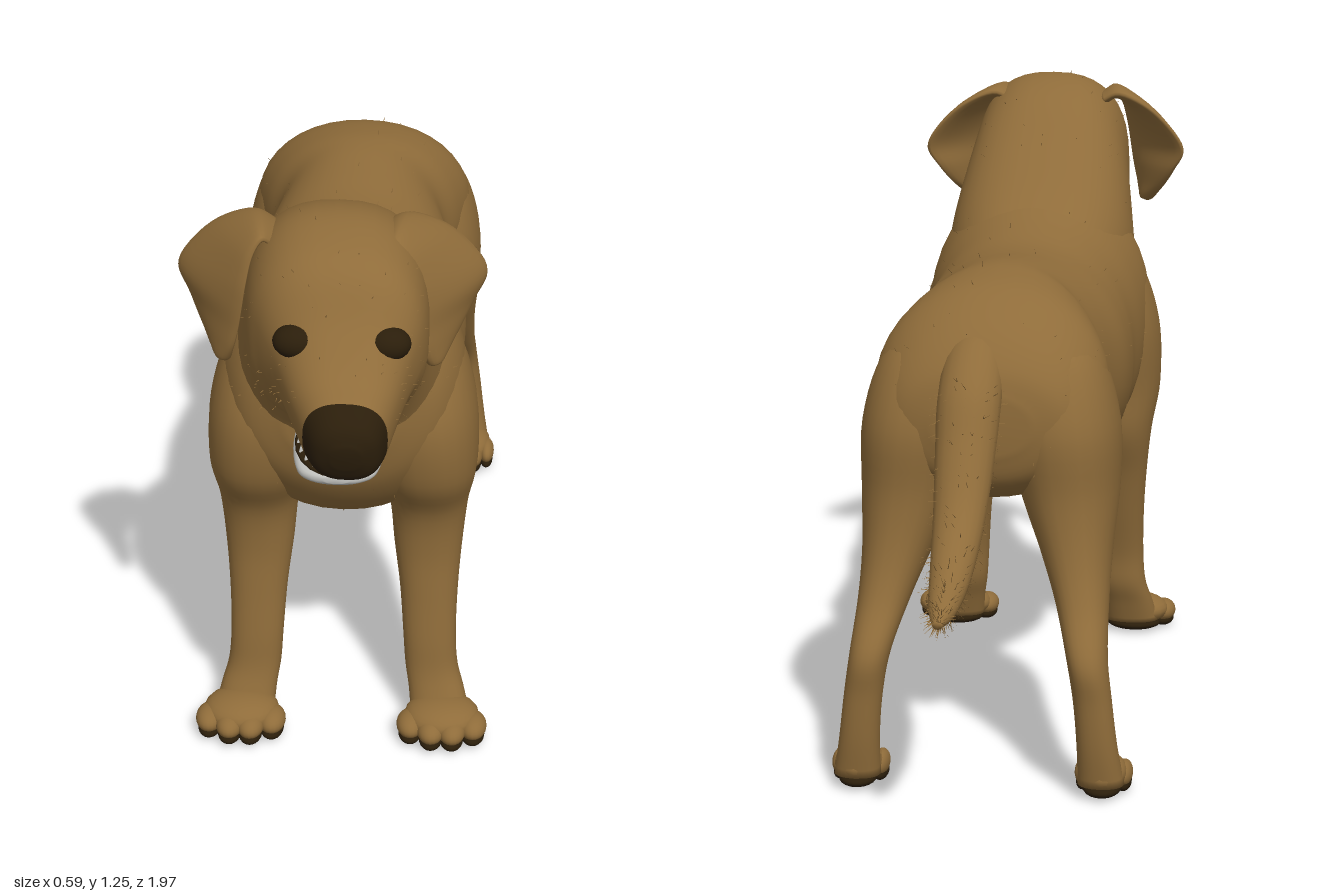
import * as THREE from 'three';

const V = (x, y, z) => new THREE.Vector3(x, y, z);
const mat = (name, color, side = THREE.FrontSide) => {
  const m = new THREE.MeshStandardMaterial({ color, side });
  m.name = name;
  return m;
};

// Smooth skin through rings [centre, halfAxisU, halfAxisV]; split starts a second material group
function loft(rings, { seg = 28, sub = 5, power = 1, split = null } = {}) {
  const curves = [0, 1, 2].map(k => new THREE.CatmullRomCurve3(rings.map(r => r[k]), false, 'catmullrom', 0.5));
  const n = (rings.length - 1) * sub;
  const pos = [], idx = [];
  const bend = a => Math.sign(a) * Math.pow(Math.abs(a), power);
  for (let i = 0; i <= n; i++) {
    const [c, u, v] = curves.map(k => k.getPoint(i / n));
    for (let j = 0; j < seg; j++) {
      const a = j / seg * Math.PI * 2;
      const p = c.clone().addScaledVector(u, bend(Math.cos(a))).addScaledVector(v, bend(Math.sin(a)));
      pos.push(p.x, p.y, p.z);
    }
  }
  const first = rings[0], last = rings[rings.length - 1];
  for (const r of [first, last]) pos.push(r[0].x, r[0].y, r[0].z);
  const mid = rings[rings.length >> 1], prev = rings[(rings.length >> 1) - 1];
  const flip = mid[1].clone().cross(mid[2]).dot(mid[0].clone().sub(prev[0])) < 0;
  const tri = (a, b, c) => flip ? idx.push(a, c, b) : idx.push(a, b, c);
  const start = (n + 1) * seg, end = start + 1;
  for (let j = 0; j < seg; j++) tri(start, (j + 1) % seg, j);
  let cut = 0;
  for (let i = 0; i < n; i++) {
    if (split !== null && i === Math.round(split * sub)) cut = idx.length;
    for (let j = 0; j < seg; j++) {
      const a = i * seg + j, b = i * seg + (j + 1) % seg;
      tri(a, b, a + seg);
      tri(b, b + seg, a + seg);
    }
  }
  for (let j = 0; j < seg; j++) tri(end, n * seg + j, n * seg + (j + 1) % seg);
  const g = new THREE.BufferGeometry();
  g.setAttribute('position', new THREE.Float32BufferAttribute(pos, 3));
  g.setIndex(idx);
  if (split !== null) {
    g.addGroup(0, cut, 0);
    g.addGroup(cut, idx.length - cut, 1);
  }
  g.computeVertexNormals();
  return g;
}

// Loose hairs standing on a skin, as thin triangles swept backwards
function fuzz(skin, count, length, from, to) {
  let seed = 7;
  const rnd = () => (seed = (seed * 16807) % 2147483647) / 2147483647;
  const P = skin.attributes.position, N = skin.attributes.normal, hair = [];
  for (let i = 0; i < count; i++) {
    const k = Math.floor((from + (to - from) * rnd()) * (P.count - 2));
    const p = V(0, 0, 0).fromBufferAttribute(P, k), n = V(0, 0, 0).fromBufferAttribute(N, k);
    const tip = p.clone().addScaledVector(n, length * (0.5 + 0.5 * rnd()));
    tip.add(V(rnd() - 0.5, rnd() - 0.5, -0.5).multiplyScalar(length * 0.6));
    hair.push(p.x - 0.001, p.y, p.z - 0.001, p.x + 0.001, p.y, p.z + 0.001, tip.x, tip.y, tip.z);
  }
  const g = new THREE.BufferGeometry();
  g.setAttribute('position', new THREE.Float32BufferAttribute(hair, 3));
  g.computeVertexNormals();
  return g;
}

export function createModel() {
  const dog = new THREE.Group();
  dog.name = 'dog';
  const coat = mat('coat', 0x8f6c3a, THREE.DoubleSide);
  const dark = mat('darkBrown', 0x2b1e0b);
  const pink = mat('tonguePink', 0xc27a80);
  const grey = mat('jawGrey', 0xc4c4c0);

  const add = (name, geo, material, parent = dog) => {
    const m = new THREE.Mesh(geo, material);
    m.name = name;
    parent.add(m);
    return m;
  };
  const ball = (name, material, p, s, parent = dog) => {
    const m = add(name, new THREE.SphereGeometry(1, 20, 14), material, parent);
    m.position.set(...p);
    m.scale.set(...s);
    return m;
  };

  // Torso: z, bottom, top, half width
  const torso = [
    [-0.545, 0.66, 0.77, 0.09], [-0.525, 0.6, 0.83, 0.165], [-0.47, 0.56, 0.895, 0.207], [-0.38, 0.55, 0.95, 0.23],
    [-0.28, 0.56, 0.972, 0.207], [-0.2, 0.555, 0.975, 0.178], [-0.1, 0.515, 0.965, 0.2], [0, 0.48, 0.955, 0.226],
    [0.1, 0.45, 0.957, 0.23], [0.2, 0.436, 0.98, 0.226], [0.3, 0.442, 1.015, 0.235], [0.4, 0.465, 1.04, 0.24],
    [0.48, 0.52, 1.0, 0.222], [0.54, 0.6, 0.93, 0.18], [0.568, 0.68, 0.85, 0.1]];
  const torsoSkin = loft(torso.map(([z, b, t, w]) =>
    [V(0, (b + t) / 2, z), V(w, 0, 0), V(0, (t - b) / 2, 0)]), { seg: 40, power: 0.94 });
  add('torso', torsoSkin, coat);
  add('torsoHair', fuzz(torsoSkin, 200, 0.012, 0.05, 0.95), coat);

  // Neck, skull and muzzle: upper z y, lower z y, half width, centre x
  const head = [
    [0.2, 0.96, 0.42, 0.55, 0.19, 0], [0.3, 1.03, 0.54, 0.66, 0.203, 0], [0.4, 1.115, 0.575, 0.74, 0.193, 0],
    [0.51, 1.205, 0.635, 0.81, 0.176, 0], [0.62, 1.243, 0.7, 0.84, 0.17, 0.002], [0.72, 1.23, 0.74, 0.865, 0.164, 0.008],
    [0.785, 1.195, 0.765, 0.893, 0.148, 0.016], [0.84, 1.12, 0.805, 0.9, 0.121, 0.023], [0.9, 1.058, 0.865, 0.89, 0.096, 0.028],
    [0.95, 1.03, 0.93, 0.876, 0.075, 0.033], [0.985, 1.0, 0.968, 0.887, 0.056, 0.036], [0.997, 0.965, 0.988, 0.92, 0.025, 0.037]];
  const headSkin = loft(head.map(([z1, y1, z2, y2, w, x]) =>
    [V(x, (y1 + y2) / 2, (z1 + z2) / 2), V(w, 0, 0), V(0, (y1 - y2) / 2, (z1 - z2) / 2)]),
  { seg: 40, power: 0.8, split: 9 });
  add('neckAndHead', headSkin, [coat, dark]);
  add('headHair', fuzz(headSkin, 220, 0.01, 0.15, 0.75), coat);

  // Open mouth: jaw, gum, tongue and teeth
  const jaw = [[0.73, 0.86, 0.024, 0.08], [0.8, 0.847, 0.026, 0.083], [0.86, 0.838, 0.019, 0.072],
    [0.885, 0.838, 0.014, 0.05], [0.897, 0.84, 0.007, 0.02]];
  add('lowerJaw', loft(jaw.map(([z, y, h, w]) => [V(0.014, y, z), V(w, 0, 0), V(0, h, 0)]), { power: 0.85 }), grey);
  ball('gum', dark, [0.014, 0.864, 0.8], [0.08, 0.011, 0.104]).rotation.x = 0.13;
  ball('tongue', pink, [0.026, 0.874, 0.81], [0.056, 0.014, 0.09]).rotation.x = 0.13;
  for (let i = 0; i < 11; i++) {
    const a = Math.PI * (0.04 + 0.92 * i / 10);
    const tooth = add('tooth', new THREE.ConeGeometry(0.005, 0.016, 6), grey);
    tooth.position.set(0.014 + 0.072 * Math.cos(a), 0.873 - 0.012 * Math.sin(a), 0.8 + 0.092 * Math.sin(a));
  }

  // Ears: y, front x z, back x z
  const earLevels = [[1.19, 0.1, 0.67, 0.1, 0.57], [1.207, 0.118, 0.685, 0.142, 0.56], [1.18, 0.136, 0.7, 0.208, 0.545],
    [1.13, 0.147, 0.713, 0.262, 0.54], [1.085, 0.154, 0.715, 0.285, 0.545], [1.04, 0.162, 0.712, 0.262, 0.565],
    [1.0, 0.172, 0.706, 0.236, 0.6], [0.965, 0.184, 0.69, 0.206, 0.645], [0.957, 0.189, 0.68, 0.2, 0.66]];
  const ear = s => {
    const ends = earLevels.map(([y, xf, zf, xb, zb]) => [V(s * xf, y, zf), V(s * xb, y, zb)]);
    const mids = ends.map(([f, b]) => f.clone().add(b).multiplyScalar(0.5));
    return loft(ends.map(([f, b], i) => {
      const u = b.clone().sub(f).multiplyScalar(0.5);
      const t = mids[Math.min(i + 1, mids.length - 1)].clone().sub(mids[Math.max(i - 1, 0)]);
      const thick = i === ends.length - 1 ? 0.004 : 0.015;
      return [mids[i], u, u.clone().cross(t).normalize().multiplyScalar(thick)];
    }), { seg: 20 });
  };

  // Legs: y, centre x, centre z, half width, half depth
  const frontLeg = [[0.92, 0.12, 0.37, 0.04, 0.05], [0.85, 0.138, 0.39, 0.085, 0.105], [0.73, 0.152, 0.405, 0.107, 0.14],
    [0.6, 0.163, 0.41, 0.1, 0.122], [0.5, 0.168, 0.388, 0.079, 0.09], [0.4, 0.168, 0.4, 0.068, 0.063],
    [0.3, 0.171, 0.418, 0.058, 0.05], [0.2, 0.174, 0.437, 0.053, 0.041], [0.13, 0.179, 0.444, 0.053, 0.04],
    [0.08, 0.19, 0.46, 0.056, 0.038], [0.03, 0.199, 0.478, 0.06, 0.04]];
  const hindLeg = [[0.88, 0.1, -0.37, 0.04, 0.06], [0.82, 0.123, -0.38, 0.09, 0.115], [0.7, 0.14, -0.388, 0.11, 0.153],
    [0.57, 0.155, -0.395, 0.097, 0.143], [0.46, 0.174, -0.447, 0.07, 0.106], [0.37, 0.192, -0.51, 0.051, 0.075],
    [0.28, 0.209, -0.583, 0.039, 0.056], [0.2, 0.221, -0.597, 0.037, 0.04], [0.11, 0.23, -0.596, 0.039, 0.036],
    [0.03, 0.237, -0.583, 0.045, 0.038]];
  const leg = (rows, s) => loft(rows.map(([y, x, z, w, d]) =>
    [V(s * x, y, z), V(w, 0, 0), V(0, 0, d)]), { seg: 26, power: 0.9 });

  // Paw with four toes over dark pads
  const paw = (name, x, z, w) => {
    const g = new THREE.Group();
    g.name = name;
    g.position.set(x, 0, z);
    g.scale.set(w, 1, 1);
    ball('pawBack', coat, [0, 0.046, -0.006], [0.076, 0.034, 0.066], g);
    ball('heelPad', dark, [0, 0.018, -0.02], [0.06, 0.016, 0.046], g);
    for (const k of [-1.5, -0.5, 0.5, 1.5]) {
      const tz = Math.abs(k) > 1 ? 0.016 : 0.036;
      ball('toe', coat, [k * 0.042, 0.037, tz], [0.028, 0.024, 0.041], g);
      ball('toePad', dark, [k * 0.042, 0.018, tz + 0.002], [0.024, 0.015, 0.039], g);
    }
    dog.add(g);
  };

  for (const [s, side] of [[1, 'left'], [-1, 'right']]) {
    add(side + 'FrontLeg', leg(frontLeg, s), coat);
    add(side + 'HindLeg', leg(hindLeg, s), coat);
    paw(side + 'FrontPaw', s * 0.203, 0.512, 1);
    paw(side + 'HindPaw', s * 0.238, -0.553, 0.62);
    add(side + 'Ear', ear(s), coat).position.x = -0.012;
    ball(side + 'Eye', dark, [0.021 + s * 0.082, 1.084, 0.827], [0.041, 0.031, 0.034]);
  }

  // Tail: z, y, radius
  const tail = [[-0.41, 0.86, 0.045], [-0.48, 0.828, 0.058], [-0.555, 0.765, 0.061], [-0.61, 0.68, 0.057],
    [-0.69, 0.575, 0.049], [-0.795, 0.5, 0.039], [-0.89, 0.464, 0.027], [-0.955, 0.452, 0.009]];
  const tailSkin = loft(tail.map(([z, y, r], i) => {
    const a = tail[Math.max(i - 1, 0)], b = tail[Math.min(i + 1, tail.length - 1)];
    const n = V(0, a[0] - b[0], b[1] - a[1]).normalize();
    return [V(0.02, y, z), V(r, 0, 0), n.multiplyScalar(r * 0.85)];
  }), { seg: 20, sub: 6 });
  add('tail', tailSkin, coat);
  add('tailHair', fuzz(tailSkin, 450, 0.022, 0.25, 1), coat);

  // Belly sheath
  ball('sheath', coat, [0, 0.525, -0.15], [0.026, 0.024, 0.06]).rotation.x = 0.45;

  return dog;
}
